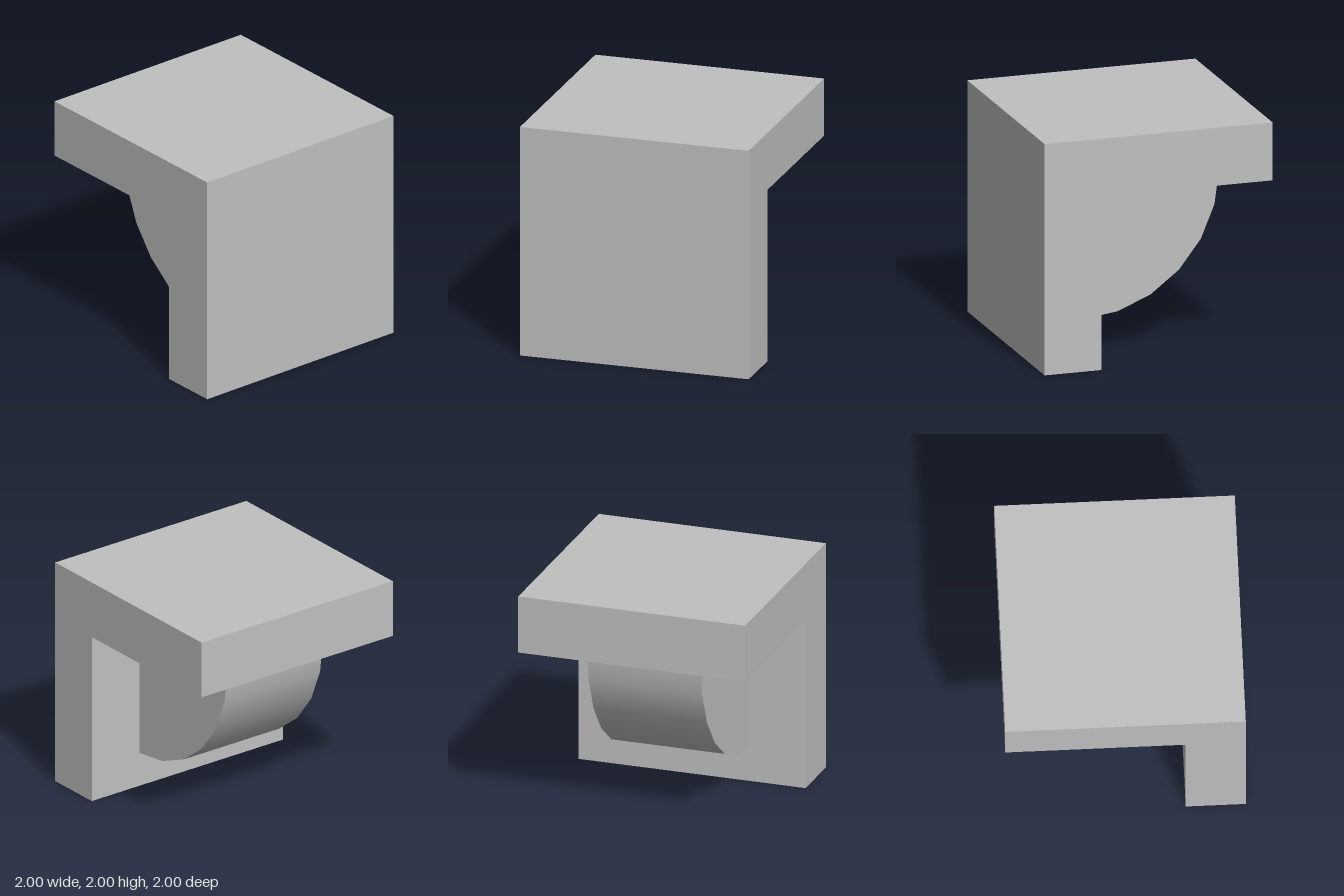
import * as THREE from 'three';

export function createModel() {
  const group = new THREE.Group();
  const lightGrey = new THREE.MeshStandardMaterial({ color: 0xc0c0c0 });
  lightGrey.name = 'lightGrey';

  // L-shaped body: top slab and side wall in one profile
  const profile = new THREE.Shape([
    [-1, 1.5], [0.5, 1.5], [0.5, 0], [1, 0], [1, 2], [-1, 2],
  ].map(([x, y]) => new THREE.Vector2(x, y)));
  const bodyGeometry = new THREE.ExtrudeGeometry(profile, { depth: 2, bevelEnabled: false });
  bodyGeometry.translate(0, 0, -1);
  const body = new THREE.Mesh(bodyGeometry, lightGrey);
  body.name = 'slabAndWall';
  group.add(body);

  // Quarter-round brace tucked into the inner corner
  const braceGeometry = new THREE.CylinderGeometry(1.2, 1.2, 1, 6, 1, false, Math.PI * 1.5, Math.PI / 2);
  braceGeometry.rotateX(Math.PI / 2);
  const brace = new THREE.Mesh(braceGeometry, lightGrey);
  brace.name = 'quarterRoundBrace';
  brace.position.set(0.5, 1.5, 0);
  group.add(brace);

  return group;
}
